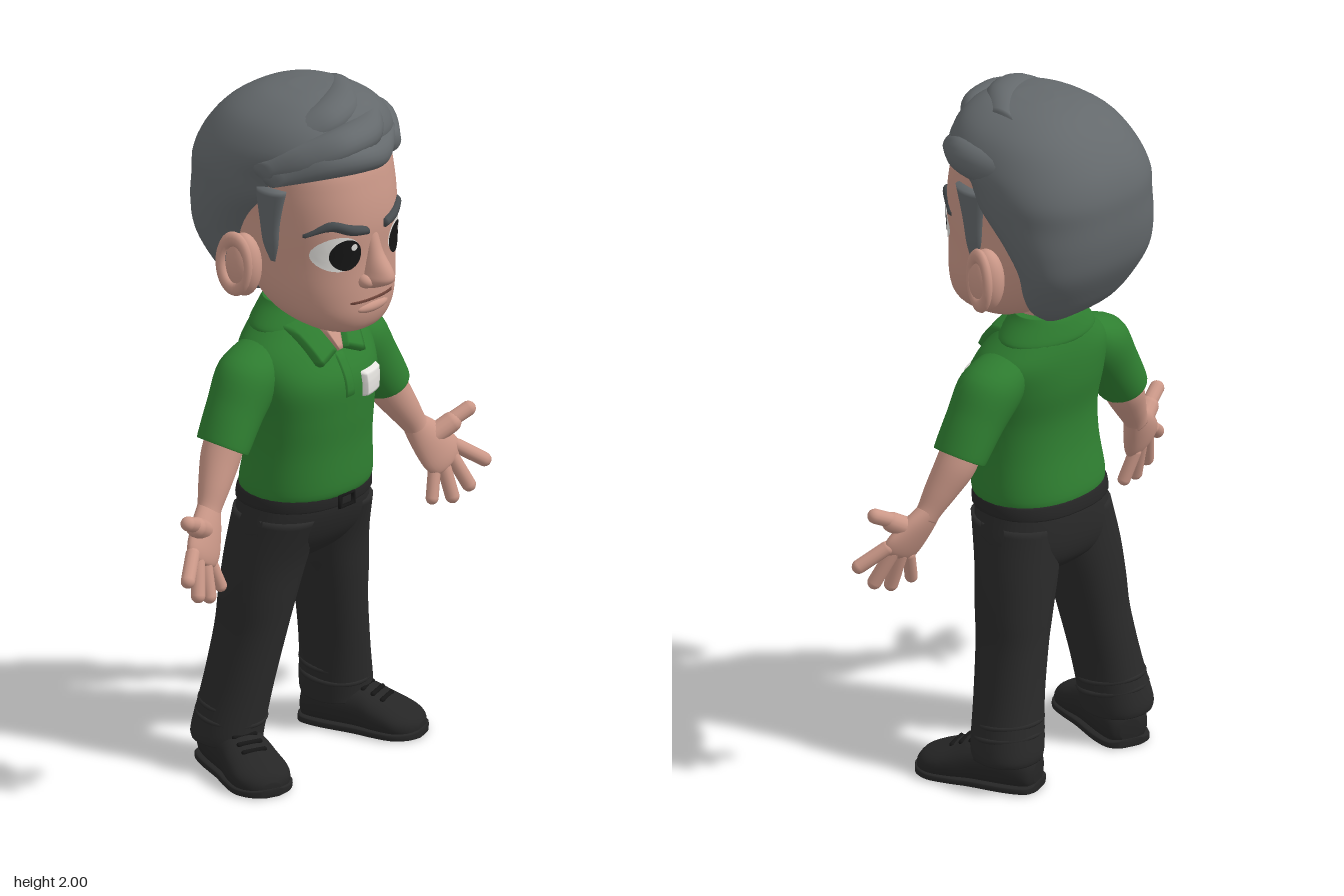
import * as THREE from 'three';

const paint = (name, color) => {
  const m = new THREE.MeshStandardMaterial({ color, side: THREE.DoubleSide });
  m.name = name;
  return m;
};
const V = (x, y, z) => new THREE.Vector3(x, y, z);
const X = V(1, 0, 0), Y = V(0, 1, 0), Z = V(0, 0, 1);

export function createModel() {
  const skin = paint('skin', 0xcb9888), hair = paint('greyHair', 0x64696c), brow = paint('browGrey', 0x484d50);
  const green = paint('shirtGreen', 0x2f7f31), black = paint('trouserBlack', 0x2a2a2a), shoeMat = paint('shoeBlack', 0x262626);
  const white = paint('white', 0xe6e4e0), pupil = paint('pupilBlack', 0x161616), lip = paint('mouthLine', 0x6e443a);
  const root = new THREE.Group();

  const add = (name, geo, mat, parent = root) => {
    const mesh = new THREE.Mesh(geo, mat);
    mesh.name = name;
    parent.add(mesh);
    return mesh;
  };

  // Smooth skin through rings [x, y, z, radiusU, radiusV]; p squares off the ring
  function loft(rings, { u = X, v = Z, p = 2, n = 32, k = 5 } = {}) {
    const at = (i, c) => rings[Math.max(0, Math.min(rings.length - 1, i))][c];
    const sec = [];
    for (let i = 0; i < rings.length - 1; i++) for (let j = 0; j < k; j++) {
      const t = j / k;
      sec.push([0, 1, 2, 3, 4].map(c => {
        const a = at(i - 1, c), b = at(i, c), d = at(i + 1, c), e = at(i + 2, c);
        return b + 0.5 * t * (d - a + t * (2 * a - 5 * b + 4 * d - e + t * (3 * (b - d) + e - a)));
      }));
    }
    sec.push(rings[rings.length - 1]);
    const first = V(...sec[0].slice(0, 3)), last = V(...sec[sec.length - 1].slice(0, 3));
    const ccw = u.clone().cross(v).dot(last.clone().sub(first)) > 0;
    const pos = [], idx = [];
    const tri = (a, b, c) => ccw ? idx.push(a, b, c) : idx.push(a, c, b);
    const sq = f => Math.sign(f) * Math.abs(f) ** (2 / p);
    for (const [x, y, z, a, b] of sec) for (let j = 0; j < n; j++) {
      const t = j / n * Math.PI * 2;
      pos.push(...V(x, y, z).addScaledVector(u, a * sq(Math.cos(t))).addScaledVector(v, b * sq(Math.sin(t))).toArray());
    }
    for (let i = 0; i < sec.length - 1; i++) for (let j = 0; j < n; j++) {
      const a = i * n + j, b = i * n + (j + 1) % n;
      tri(a, b, b + n);
      tri(a, b + n, a + n);
    }
    const c = pos.length / 3, top = (sec.length - 1) * n;
    pos.push(...first.toArray(), ...last.toArray());
    for (let j = 0; j < n; j++) {
      tri(c, (j + 1) % n, j);
      tri(c + 1, top + j, top + (j + 1) % n);
    }
    const g = new THREE.BufferGeometry();
    g.setAttribute('position', new THREE.Float32BufferAttribute(pos, 3));
    g.setIndex(idx);
    g.computeVertexNormals();
    return g;
  }
  const mir = (rings, s) => rings.map(([x, ...r]) => [x * s, ...r]);

  // Lay a flat geometry onto the front of a mesh
  const ray = new THREE.Raycaster();
  const frontZ = (mesh, x, y) => {
    ray.set(V(x, y, 2), V(0, 0, -1));
    const hit = ray.intersectObject(mesh)[0];
    return hit ? hit.point.z : 0.1;
  };
  function conform(g, mesh, lift) {
    const q = g.attributes.position;
    for (let i = 0; i < q.count; i++) q.setZ(i, frontZ(mesh, q.getX(i), q.getY(i)) + lift(i));
    g.computeVertexNormals();
    return g;
  }
  const disc = (mesh, x, y, rx, ry, lift) =>
    conform(new THREE.RingGeometry(0.001, 1, 28, 6).scale(rx, ry, 1).translate(x, y, 0), mesh, () => lift);
  // Raised pad between four corners: top left, top right, bottom right, bottom left
  function pad(mesh, [a, b, c, d], lift, n = 10) {
    const g = new THREE.PlaneGeometry(1, 1, n, n), q = g.attributes.position, mix = THREE.MathUtils.lerp;
    const edge = [];
    for (let i = 0; i < q.count; i++) {
      const s = q.getX(i) + 0.5, t = 0.5 - q.getY(i);
      edge.push(Math.min(s, 1 - s, t, 1 - t) < 0.01);
      q.setXY(i, mix(mix(a[0], b[0], s), mix(d[0], c[0], s), t), mix(mix(a[1], b[1], s), mix(d[1], c[1], s), t));
    }
    return conform(g, mesh, i => edge[i] ? -0.004 : lift);
  }
  // Rounded rod from a to b
  function rod(name, a, b, r, mat, parent = root) {
    const A = V(...a), B = V(...b), dir = B.clone().sub(A);
    const mesh = add(name, new THREE.CapsuleGeometry(r, dir.length(), 6, 14), mat, parent);
    mesh.position.copy(A.add(B).multiplyScalar(0.5));
    mesh.quaternion.setFromUnitVectors(Y, dir.normalize());
    return mesh;
  }
  const ball = (name, x, y, z, a, b, c, mat) =>
    add(name, new THREE.SphereGeometry(1, 24, 16).scale(a, b, c).translate(x, y, z), mat);

  // Head, neck and nose
  const head = add('head', loft([[0, 1.318, 0.12, 0.05, 0.06], [0, 1.335, 0.115, 0.105, 0.11], [0, 1.38, 0.085, 0.155, 0.163],
    [0, 1.45, 0.055, 0.183, 0.197], [0, 1.55, 0.03, 0.195, 0.22], [0, 1.65, 0.03, 0.2, 0.224], [0, 1.75, 0.02, 0.204, 0.22],
    [0, 1.83, 0.01, 0.195, 0.205], [0, 1.91, 0, 0.14, 0.14]], { p: 2.3, n: 48 }), skin);
  add('neck', loft([[0, 1.2, -0.03, 0.085, 0.08], [0, 1.42, -0.03, 0.085, 0.085]]), skin);
  add('nose', loft([[0, 1.63, 0.24, 0.018, 0.012], [0, 1.57, 0.245, 0.025, 0.03], [0, 1.52, 0.253, 0.036, 0.06],
    [0, 1.49, 0.252, 0.042, 0.062], [0, 1.465, 0.242, 0.025, 0.025]], { n: 24 }), skin);
  ball('lowerLip', 0, 1.405, 0.24, 0.06, 0.018, 0.02, skin);
  add('mouth', pad(head, [[-0.09, 1.434], [0.09, 1.434], [0.09, 1.427], [-0.09, 1.427]], 0.005), lip);

  // Eyes, brows, nostrils, ears and sideburns
  for (const s of [1, -1]) {
    add('eyeWhite', disc(head, s * 0.112, 1.583, 0.057, 0.052, 0.004), white);
    add('iris', disc(head, s * 0.096, 1.58, 0.041, 0.046, 0.007), pupil);
    add('eyeGlint', disc(head, s * 0.096 + 0.018, 1.602, 0.009, 0.01, 0.009), white);
    const b = [[0.035, 1.642, 0.012], [0.085, 1.652, 0.016], [0.135, 1.668, 0.014], [0.178, 1.637, 0.005]];
    add('eyebrow', loft(b.map(([x, y, r]) => [s * x, y, frontZ(head, s * x, y), r, 0.016]), { u: Y, n: 16 }), brow);
    ball('nostril', s * 0.037, 1.49, 0.252, 0.021, 0.02, 0.026, skin);
    ball('ear', s * 0.225, 1.515, -0.03, 0.045, 0.092, 0.055, skin).rotation.z = 0;
    const rim = add('earRim', new THREE.TorusGeometry(0.046, 0.014, 10, 28).scale(0.95, 1.6, 1), skin);
    rim.position.set(s * 0.258, 1.525, -0.035);
    rim.rotation.y = s * (Math.PI / 2 - 0.25);
    add('sideburn', loft(mir([[0.2, 1.76, 0.05, 0.03, 0.055], [0.198, 1.66, 0.045, 0.022, 0.036],
      [0.193, 1.59, 0.045, 0.018, 0.028], [0.19, 1.54, 0.05, 0.008, 0.01]], s), { n: 16 }), hair);
  }

  // Hair: main cap, swept fringe and side parting
  add('hairCap', loft([[0, 1.375, -0.125, 0.09, 0.03], [0, 1.42, -0.145, 0.15, 0.07], [0, 1.48, -0.165, 0.19, 0.093],
    [0, 1.56, -0.183, 0.22, 0.118], [0, 1.64, -0.16, 0.238, 0.158], [0, 1.72, -0.115, 0.25, 0.205], [0, 1.79, -0.093, 0.254, 0.222],
    [0, 1.86, -0.035, 0.242, 0.25], [0, 1.93, -0.012, 0.198, 0.21], [0, 1.975, 0, 0.125, 0.14], [0, 1.993, 0, 0.04, 0.05]],
  { p: 2.3, n: 48 }), hair);
  const locks = [
    [[0.17, 1.85, 0.13, 0.035, 0.04], [0.07, 1.835, 0.2, 0.042, 0.045], [-0.05, 1.855, 0.225, 0.045, 0.05], [-0.16, 1.85, 0.17, 0.045, 0.055], [-0.235, 1.8, 0.08, 0.02, 0.03]],
    [[0.15, 1.91, 0.08, 0.04, 0.05], [0.04, 1.9, 0.18, 0.048, 0.06], [-0.1, 1.895, 0.2, 0.045, 0.055], [-0.19, 1.855, 0.13, 0.04, 0.05], [-0.24, 1.82, 0.05, 0.02, 0.03]],
    [[0.13, 1.945, 0, 0.035, 0.06], [0.03, 1.952, 0.09, 0.045, 0.07], [-0.09, 1.935, 0.12, 0.045, 0.06], [-0.19, 1.885, 0.05, 0.03, 0.05]],
  ];
  locks.forEach(l => add('fringeLock', loft(l, { u: Y, n: 20 }), hair));
  add('sideLock', loft([[0.14, 1.83, 0.19, 0.03, 0.025], [0.195, 1.85, 0.1, 0.045, 0.05], [0.205, 1.85, 0, 0.05, 0.055],
    [0.19, 1.84, -0.12, 0.04, 0.05]], { u: X, v: Y, n: 20 }), hair);

  // Polo shirt with collar, placket and badge
  const torso = add('shirtBody', loft([[0, 0.805, -0.012, 0.188, 0.15], [0, 0.835, -0.01, 0.197, 0.16], [0, 0.95, 0.002, 0.19, 0.148],
    [0, 1.05, 0.008, 0.194, 0.148], [0, 1.15, 0, 0.21, 0.155], [0, 1.23, -0.022, 0.21, 0.135], [0, 1.29, -0.037, 0.158, 0.112],
    [0, 1.33, -0.045, 0.113, 0.09], [0, 1.35, -0.048, 0.095, 0.08]], { p: 2.2, n: 48 }), green);
  add('collar', loft([[0, 1.285, -0.04, 0.155, 0.105], [0, 1.3, -0.042, 0.155, 0.108], [0, 1.345, -0.045, 0.118, 0.092],
    [0, 1.365, -0.045, 0.105, 0.082]]), green);
  add('openNeck', pad(torso, [[-0.055, 1.335], [0.055, 1.335], [0.004, 1.228], [-0.004, 1.228]], 0.018), skin);
  add('placket', pad(torso, [[-0.018, 1.232], [0.018, 1.232], [0.018, 1.1], [-0.018, 1.1]], 0.005), green);
  for (const y of [1.2, 1.14]) add('button', disc(torso, 0, y, 0.006, 0.006, 0.008), green);
  add('badge', pad(torso, [[0.05, 1.163], [0.142, 1.158], [0.14, 1.084], [0.053, 1.088]], 0.016, 14), white);
  for (const s of [1, -1]) add('collarFlap', pad(torso, mir([[0.055, 1.34], [0.125, 1.315], [0.088, 1.2], [0.008, 1.235]], s), 0.024), green);

  // Sleeves, arms and open hands
  for (const s of [1, -1]) {
    const u = V(0.86 * s, 0.5, 0), side = s > 0 ? 'left' : 'right', opt = { u, v: Z, n: 28 };
    const P = ([x, y, z]) => [x * s, y, z];
    add(side + 'Sleeve', loft(mir([[0.12, 1.25, -0.035, 0.05, 0.07], [0.2, 1.185, -0.03, 0.09, 0.09], [0.265, 1.095, -0.025, 0.08, 0.083],
      [0.316, 1.012, -0.02, 0.07, 0.08], [0.32, 1.004, -0.02, 0.066, 0.076]], s), opt), green);
    add(side + 'Forearm', loft(mir([[0.3, 1.04, -0.02, 0.055, 0.058], [0.335, 0.975, -0.015, 0.056, 0.056], [0.375, 0.91, 0, 0.046, 0.045],
      [0.405, 0.86, 0.012, 0.037, 0.034], [0.42, 0.835, 0.02, 0.04, 0.032]], s), opt), skin);
    add(side + 'Palm', loft(mir([[0.405, 0.86, 0.012, 0.035, 0.032], [0.435, 0.815, 0.03, 0.054, 0.033], [0.468, 0.765, 0.05, 0.066, 0.029],
      [0.485, 0.737, 0.06, 0.058, 0.022], [0.49, 0.728, 0.063, 0.04, 0.012]], s), opt), skin);
    const fingers = [[[0.524, 0.768, 0.062], [0.588, 0.72, 0.105]], [[0.501, 0.75, 0.06], [0.537, 0.658, 0.095]],
      [[0.472, 0.735, 0.057], [0.482, 0.637, 0.085]], [[0.446, 0.724, 0.052], [0.42, 0.645, 0.068]]];
    fingers.forEach(([a, b], i) => rod(side + 'Finger', P(a), P(b), i === 3 ? 0.018 : 0.02, skin));
    rod(side + 'ThumbBase', P([0.45, 0.81, 0.035]), P([0.505, 0.842, 0.058]), 0.029, skin);
    rod(side + 'Thumb', P([0.5, 0.845, 0.055]), P([0.556, 0.873, 0.075]), 0.021, skin);
  }

  // Trousers and belt
  add('hips', loft([[0, 0.84, -0.015, 0.178, 0.145], [0, 0.77, -0.02, 0.196, 0.152], [0, 0.69, -0.033, 0.212, 0.138],
    [0, 0.635, -0.045, 0.19, 0.11], [0, 0.6, -0.05, 0.1, 0.07]], { p: 2.3 }), black);
  add('belt', loft([[0, 0.78, -0.018, 0.196, 0.157], [0, 0.785, -0.018, 0.2, 0.16], [0, 0.815, -0.015, 0.196, 0.158],
    [0, 0.82, -0.015, 0.19, 0.153]], { p: 2.3, k: 2 }), shoeMat);
  const buckle = add('buckle', new THREE.TorusGeometry(0.026, 0.006, 8, 4, Math.PI * 2).rotateZ(Math.PI / 4).scale(1.4, 0.9, 1), pupil);
  buckle.position.set(0, 0.795, 0.145);

  for (const s of [1, -1]) {
    const side = s > 0 ? 'left' : 'right';
    add(side + 'Leg', loft(mir([[0.1, 0.75, -0.02, 0.1, 0.135], [0.12, 0.62, -0.045, 0.108, 0.118], [0.143, 0.5, -0.057, 0.1, 0.11],
      [0.16, 0.4, -0.066, 0.091, 0.104], [0.19, 0.25, -0.083, 0.09, 0.1], [0.214, 0.12, -0.1, 0.098, 0.1],
      [0.217, 0.085, -0.1, 0.094, 0.097]], s), { p: 2.2 }), black);
    for (const [x, y, r] of [[0.206, 0.155, 0.094], [0.2, 0.19, 0.09]]) {
      const fold = add(side + 'TrouserFold', new THREE.TorusGeometry(r, 0.008, 8, 32).rotateX(Math.PI / 2 + 0.12), black);
      fold.position.set(x * s, y, -0.095);
    }
    // Shoes point outward
    const shoe = new THREE.Group();
    shoe.name = side + 'Shoe';
    shoe.position.set(s * 0.24, 0, -0.02);
    shoe.rotation.y = s * 0.34;
    root.add(shoe);
    const outline = [[0, 0.05, -0.178, 0.03, 0.03], [0, 0.055, -0.16, 0.06, 0.055], [0, 0.065, -0.1, 0.074, 0.07], [0, 0.06, 0, 0.077, 0.067],
      [0, 0.047, 0.06, 0.084, 0.056], [0, 0.036, 0.12, 0.084, 0.043], [0, 0.028, 0.16, 0.06, 0.033], [0, 0.024, 0.178, 0.025, 0.015]];
    const upper = loft(outline, { u: X, v: Y, p: 2.3 }), q = upper.attributes.position;
    for (let i = 0; i < q.count; i++) q.setY(i, Math.max(q.getY(i), 0.006));
    upper.computeVertexNormals();
    add('upper', upper, shoeMat, shoe);
    add('sole', loft(outline.map(([x, , z, a]) => [x, 0.012, z * 1.02, a + 0.006, 0.012]), { u: X, v: Y, p: 5 }), shoeMat, shoe);
    for (const [y, z] of [[0.119, 0.012], [0.109, 0.042], [0.096, 0.07]])
      rod('lace', [-0.032, y, z], [0.032, y, z], 0.007, pupil, shoe);
  }
  return root;
}
